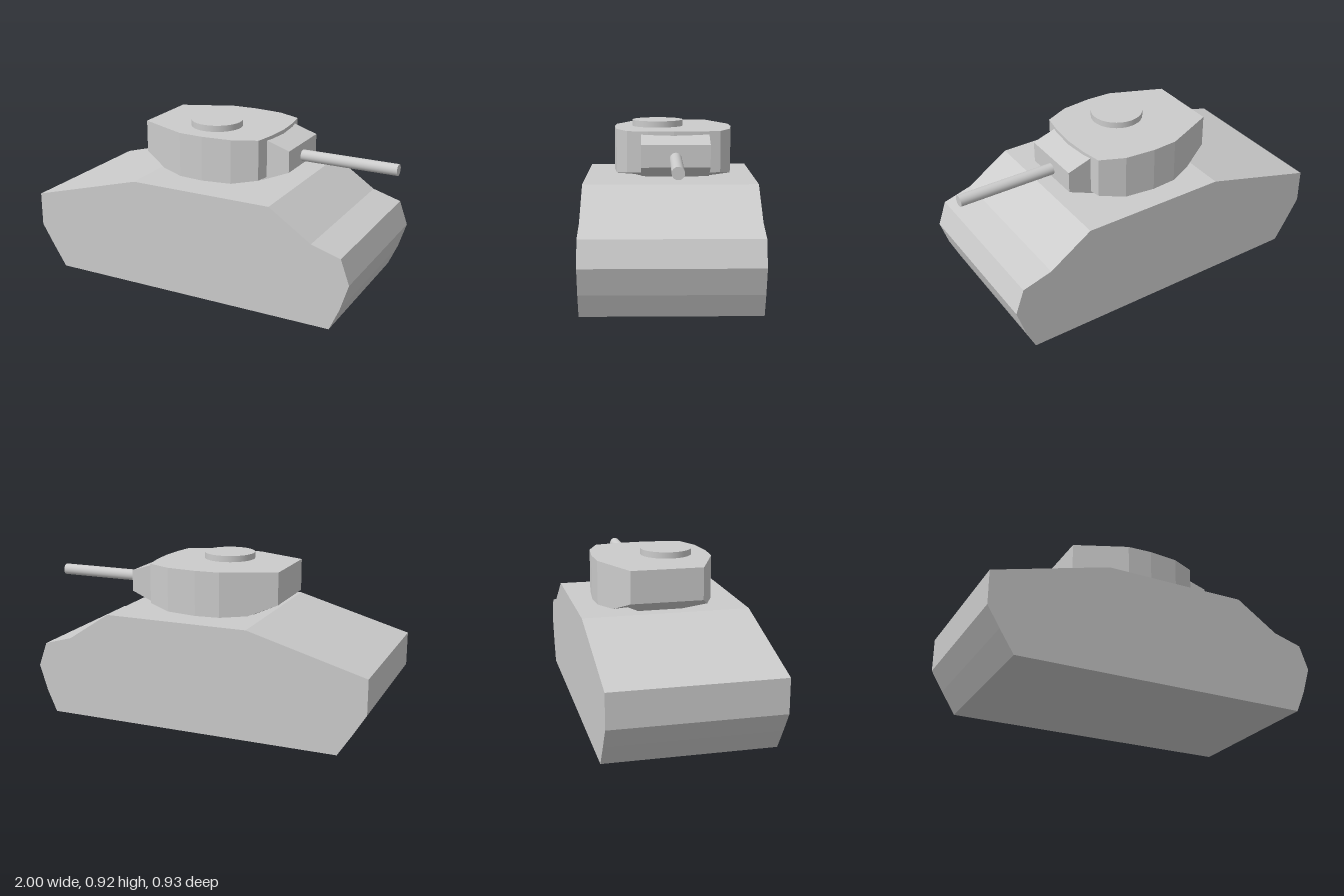
import * as THREE from 'three';

const grey = new THREE.MeshStandardMaterial({ color: 0xcccccc });
const flatGrey = new THREE.MeshStandardMaterial({ color: 0xcccccc, flatShading: true });

const TURRET_Z = -0.02;
const GUN_Z = -0.028;

function part(name, geometry, material) {
  const mesh = new THREE.Mesh(geometry, material);
  mesh.name = name;
  return mesh;
}

// Side profile (x, y) extruded across z, centred on zMid
function slab(points, width, zMid = 0) {
  const shape = new THREE.Shape(points.map(([x, y]) => new THREE.Vector2(x, y)));
  const geo = new THREE.ExtrudeGeometry(shape, { depth: width, bevelEnabled: false });
  return geo.translate(0, 0, zMid - width / 2);
}

// Skin closed rings of equal length, listed from bottom to top
function loft(rings) {
  const n = rings[0].length;
  const index = [];
  for (let k = 0; k < rings.length - 1; k++) {
    for (let i = 0; i < n; i++) {
      const j = (i + 1) % n;
      const a = k * n + i, b = k * n + j;
      index.push(a, b, b + n, a, b + n, a + n);
    }
  }
  const geo = new THREE.BufferGeometry();
  geo.setAttribute('position', new THREE.Float32BufferAttribute(rings.flat(2), 3));
  geo.setIndex(index);
  const flat = geo.toNonIndexed();
  flat.computeVertexNormals();
  return flat;
}

function turretGeometry() {
  // Half outline from rear to front: x, half width, height of lower wall edge
  const half = [
    [-0.43, 0.2, 0.7], [-0.28, 0.265, 0.64], [-0.14, 0.325, 0.632], [0, 0.332, 0.63],
    [0.17, 0.315, 0.634], [0.305, 0.254, 0.655], [0.325, 0.14, 0.655], [0.335, 0, 0.655],
  ];
  const mirrored = half.slice(0, -1).reverse().map(([x, w, y]) => [x, -w, y]);
  const outline = [...half, ...mirrored];
  const ring = (scale, height) =>
    outline.map(([x, w, y]) => [x * scale, height ?? y, TURRET_Z + w * scale]);
  return loft([ring(0, 0.614), ring(0.62, 0.616), ring(1), ring(1, 0.88), ring(0, 0.88)]);
}

export function createModel() {
  const model = new THREE.Group();
  model.name = 'tank';

  // Hull with sloped deck and glacis
  const hullProfile = [
    [-0.85, 0], [0.835, 0], [0.89, 0.125], [0.935, 0.27], [0.885, 0.407], [0.72, 0.455],
    [0.48, 0.615], [-0.34, 0.615], [-1, 0.432], [-1, 0.24], [-0.93, 0.125],
  ];
  model.add(part('hull', slab(hullProfile, 0.934), flatGrey));

  // Faceted turret with chamfered underside
  const turret = new THREE.Group();
  turret.name = 'turret';
  turret.add(part('turretShell', turretGeometry(), flatGrey));

  // Round hatch on the roof
  const hatch = part('hatch', new THREE.CylinderGeometry(0.145, 0.145, 0.035, 32), grey);
  hatch.position.set(-0.035, 0.898, 0.067);
  turret.add(hatch);

  // Wedge-shaped gun mantlet
  const mantletProfile = [[0.29, 0.632], [0.45, 0.7], [0.45, 0.82], [0.29, 0.872]];
  turret.add(part('mantlet', slab(mantletProfile, 0.37, GUN_Z), flatGrey));

  // Gun barrel
  const barrel = part('barrel', new THREE.CylinderGeometry(0.032, 0.032, 0.57, 24), grey);
  barrel.rotation.z = -Math.PI / 2;
  barrel.position.set(0.715, 0.748, GUN_Z);
  turret.add(barrel);

  model.add(turret);
  return model;
}
